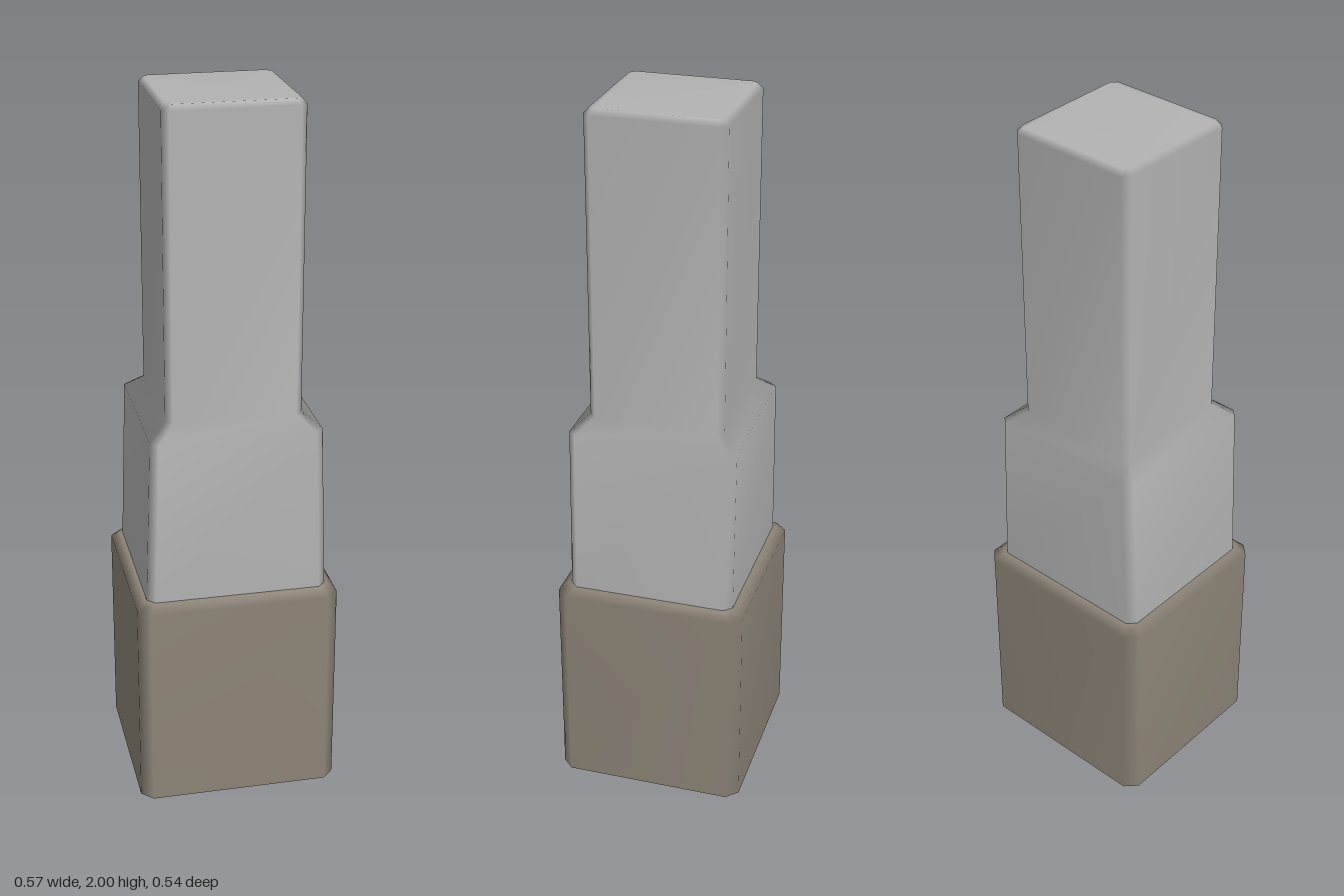
import * as THREE from 'three';

// Rectangle with chamfered corners at height y
const section = ([y, hx, hz, c]) => [
  [hx, y, hz - c], [hx - c, y, hz], [c - hx, y, hz], [-hx, y, hz - c],
  [-hx, y, c - hz], [c - hx, y, -hz], [hx - c, y, -hz], [hx, y, c - hz],
];

// Smooth loft through the sections, closed on top and open below
function loft(name, sections, material) {
  const n = 8, index = [];
  const positions = sections.flatMap(section).flat();
  for (let r = 0; r < sections.length - 1; r++) {
    for (let i = 0; i < n; i++) {
      const a = r * n + i, b = r * n + (i + 1) % n;
      index.push(a, a + n, b, b, a + n, b + n);
    }
  }
  const top = (sections.length - 1) * n;
  for (let i = 1; i < n - 1; i++) index.push(top, top + i + 1, top + i);
  const geometry = new THREE.BufferGeometry();
  geometry.setAttribute('position', new THREE.Float32BufferAttribute(positions, 3));
  geometry.setIndex(index);
  geometry.computeVertexNormals();
  const mesh = new THREE.Mesh(geometry, material);
  mesh.name = name;
  return mesh;
}

export function createModel() {
  const stone = new THREE.MeshStandardMaterial({ color: 0x8c8376, side: THREE.DoubleSide });
  stone.name = 'warm stone';
  const grey = new THREE.MeshStandardMaterial({ color: 0xb2b2b2, side: THREE.DoubleSide });
  grey.name = 'light grey';

  const group = new THREE.Group();
  group.name = 'steppedPillar';
  // Each section: height, half width, half depth, corner chamfer
  group.add(
    // Hollow base block with bevelled rim
    loft('base', [
      [0, 0.286, 0.27, 0.032],
      [0.605, 0.286, 0.27, 0.032],
      [0.625, 0.262, 0.246, 0.026],
    ], stone),
    // Tapered lower shaft, sloped shoulder and straight upper shaft
    loft('shaft', [
      [0.62, 0.255, 0.237, 0.022],
      [1.1, 0.239, 0.237, 0.022],
      [1.14, 0.189, 0.19, 0.018],
      [1.985, 0.189, 0.19, 0.018],
      [2, 0.176, 0.177, 0.014],
    ], grey),
  );
  return group;
}
